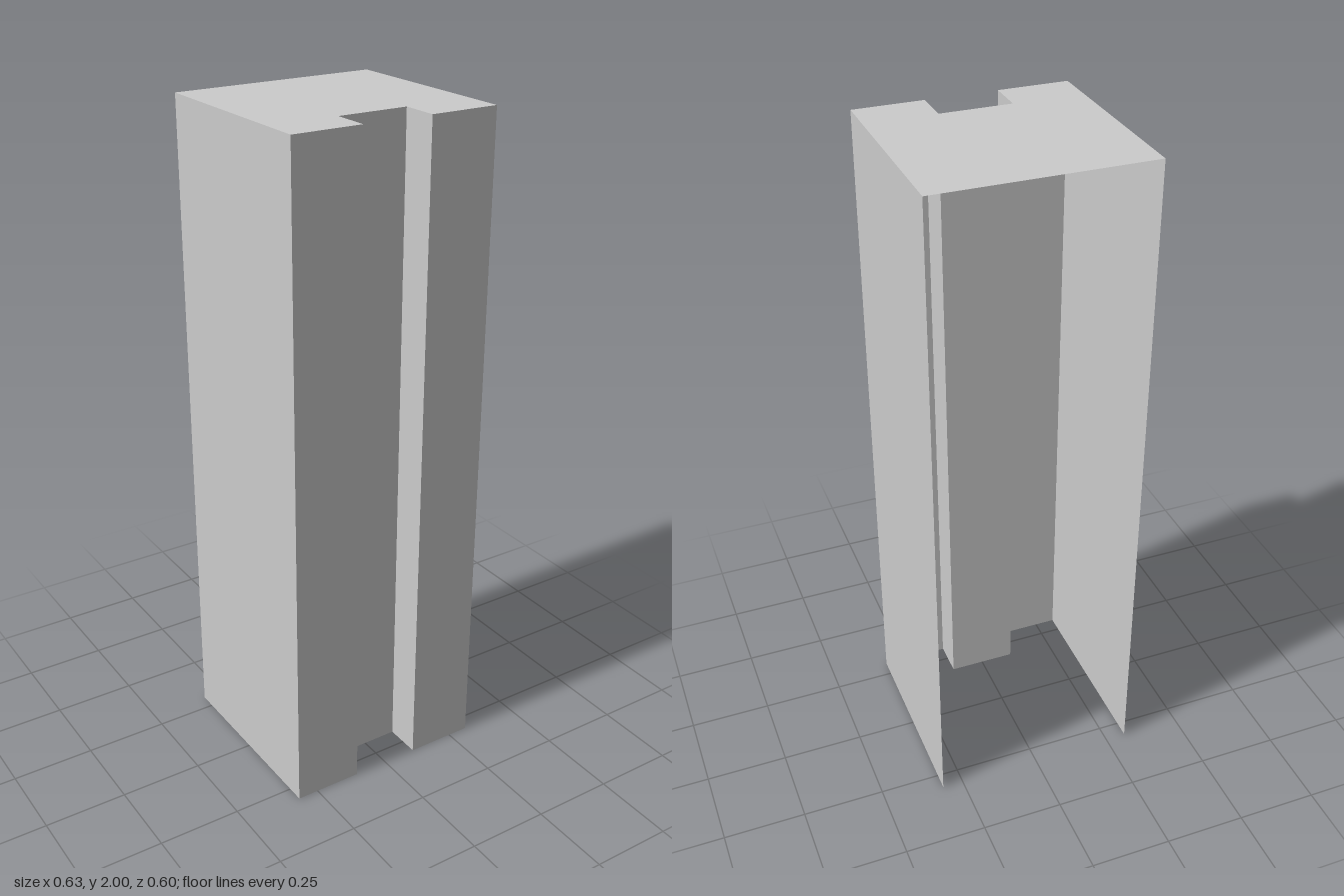
import * as THREE from 'three';

export function createModel() {
  const W = 0.315, D = 0.302, H = 2;      // half width, half depth, height
  const GW = 0.106, GZ = 0.19;            // groove half width and its back plane
  const material = new THREE.MeshStandardMaterial({ color: 0xcccccc, flatShading: true, side: THREE.DoubleSide });
  const group = new THREE.Group();
  group.name = 'groovedColumn';

  // Outline in plan as [x, z], from the back right corner around the front
  const outline = [[-W, -D], [-W, D], [-GW, D], [-GW, GZ], [GW, GZ], [GW, D], [W, D], [W, -D]];
  const names = ['rightWall', 'frontRightPanel', 'grooveRightSide', 'grooveBack',
    'grooveLeftSide', 'frontLeftPanel', 'leftWall'];

  // One thin upright sheet per outline edge; the back and the bottom stay open
  names.forEach((name, i) => {
    const [x0, z0] = outline[i], [x1, z1] = outline[i + 1];
    const dx = x1 - x0, dz = z1 - z0;
    const wall = new THREE.Mesh(new THREE.PlaneGeometry(Math.hypot(dx, dz), H), material);
    wall.name = name;
    wall.position.set((x0 + x1) / 2, H / 2, (z0 + z1) / 2);
    wall.rotation.y = Math.atan2(-dz, dx);
    group.add(wall);
  });

  // Flat cap following the grooved outline
  const shape = new THREE.Shape(outline.map(([x, z]) => new THREE.Vector2(x, -z)));
  const cap = new THREE.Mesh(new THREE.ShapeGeometry(shape).rotateX(-Math.PI / 2), material);
  cap.name = 'topCap';
  cap.position.y = H;
  group.add(cap);

  return group;
}
